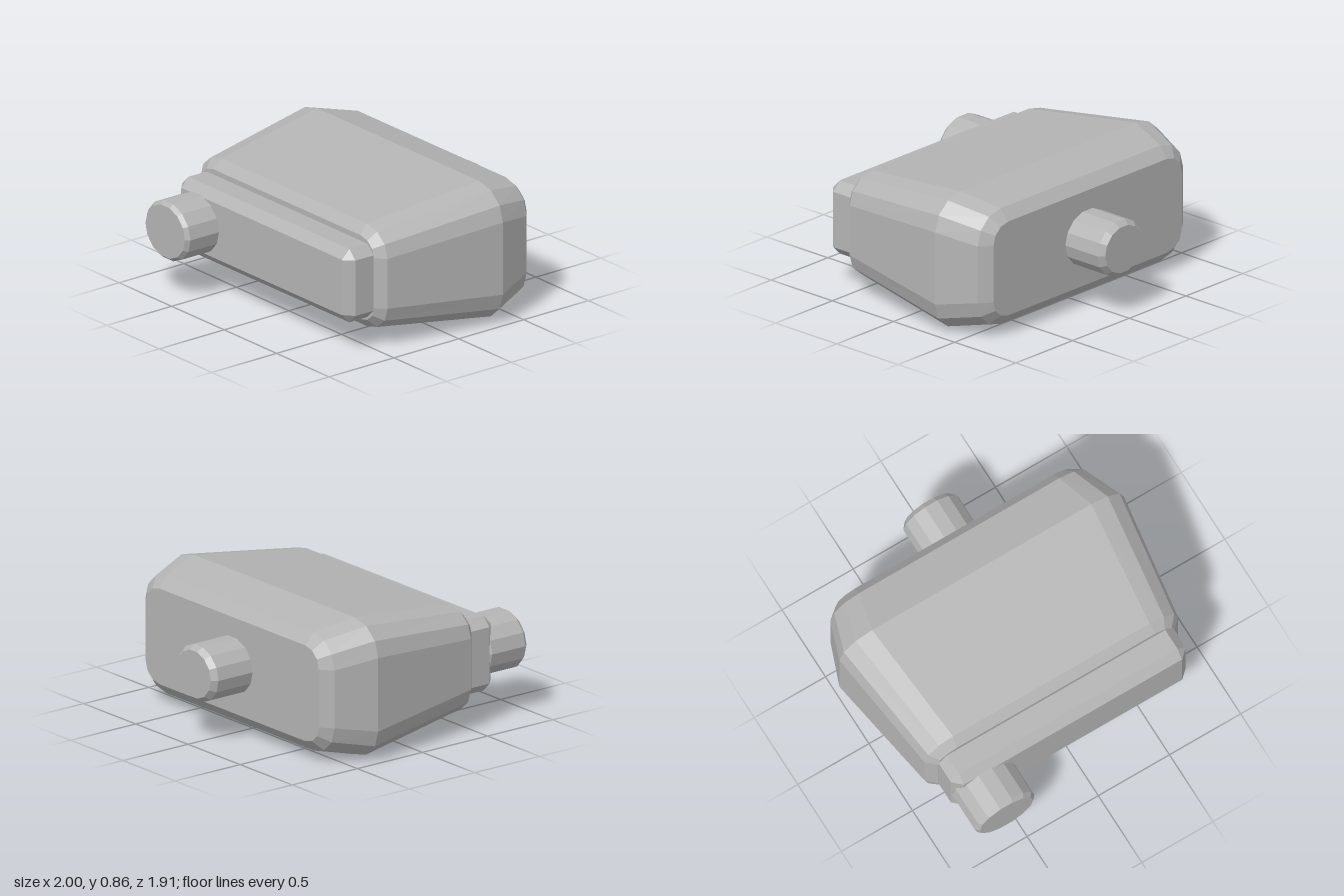
import * as THREE from 'three';

const CENTRE_Y = 0.434;

// Rounded rectangle outline, counter-clockwise, with faceted corners
function roundedRing(z, hx, hy, cx, cy, segments) {
  const ring = [];
  for (let q = 0; q < 4; q++) {
    const sx = q === 0 || q === 3 ? 1 : -1;
    const sy = q < 2 ? 1 : -1;
    for (let i = 0; i <= segments; i++) {
      const a = (q + i / segments) * Math.PI / 2;
      ring.push([
        sx * (hx - cx) + cx * Math.cos(a),
        CENTRE_Y + sy * (hy - cy) + cy * Math.sin(a),
        z,
      ]);
    }
  }
  return ring;
}

// Oval outline, counter-clockwise
function ovalRing(z, x, rx, ry, sides = 14) {
  return Array.from({ length: sides }, (_, i) => {
    const a = (i + 0.5) / sides * Math.PI * 2;
    return [x + rx * Math.sin(-a), CENTRE_Y + 0.002 + ry * Math.cos(a), z];
  });
}

// Skin rings ordered from front to back and close both ends
function loft(name, rings, material) {
  const n = rings[0].length;
  const pos = [];
  const tri = (a, b, c) => pos.push(...a, ...b, ...c);
  const middle = (r) => [0, 1, 2].map((k) => r.reduce((s, p) => s + p[k], 0) / n);
  const front = rings[0];
  const back = rings[rings.length - 1];
  const fc = middle(front);
  const bc = middle(back);
  for (let j = 0; j < n; j++) {
    const k = (j + 1) % n;
    tri(fc, front[j], front[k]);
    tri(bc, back[k], back[j]);
    for (let i = 0; i < rings.length - 1; i++) {
      const a = rings[i];
      const b = rings[i + 1];
      tri(a[j], b[j], b[k]);
      tri(a[j], b[k], a[k]);
    }
  }
  const geometry = new THREE.BufferGeometry();
  geometry.setAttribute('position', new THREE.Float32BufferAttribute(pos, 3));
  geometry.computeVertexNormals();
  const mesh = new THREE.Mesh(geometry, material);
  mesh.name = name;
  return mesh;
}

export function createModel() {
  const group = new THREE.Group();
  group.name = 'device';
  const grey = new THREE.MeshStandardMaterial({ color: 0xb4b4b4 });
  grey.name = 'grey';

  // Tapered housing: z, half width, half height, corner width, corner height
  const body = [
    [0.515, 0.83, 0.27, 0.13, 0.11],
    [0.46, 0.89, 0.33, 0.2, 0.17],
    [-0.34, 1, 0.432, 0.23, 0.2],
    [-0.6, 0.905, 0.372, 0.2, 0.19],
    [-0.66, 0.83, 0.302, 0.13, 0.12],
  ].map((r) => roundedRing(...r, 3));
  group.add(loft('housing', body, grey));

  // Bevelled plate on the front
  const plate = [
    [0.71, 0.767, 0.178, 0.002, 0.002],
    [0.655, 0.825, 0.236, 0.058, 0.058],
    [0.47, 0.825, 0.236, 0.058, 0.058],
  ].map((r) => roundedRing(...r, 1));
  group.add(loft('frontPlate', plate, grey));

  // Offset front knob with a small bevel at each end
  group.add(loft('frontKnob', [
    ovalRing(0.955, -0.617, 0.188, 0.167),
    ovalRing(0.93, -0.617, 0.21, 0.188),
    ovalRing(0.675, -0.617, 0.21, 0.188),
    ovalRing(0.65, -0.617, 0.188, 0.167),
  ], grey));

  // Central rear plug with a bevelled tip
  group.add(loft('rearPlug', [
    ovalRing(-0.62, 0, 0.196, 0.178),
    ovalRing(-0.922, 0, 0.196, 0.178),
    ovalRing(-0.957, 0, 0.165, 0.15),
  ], grey));

  return group;
}
